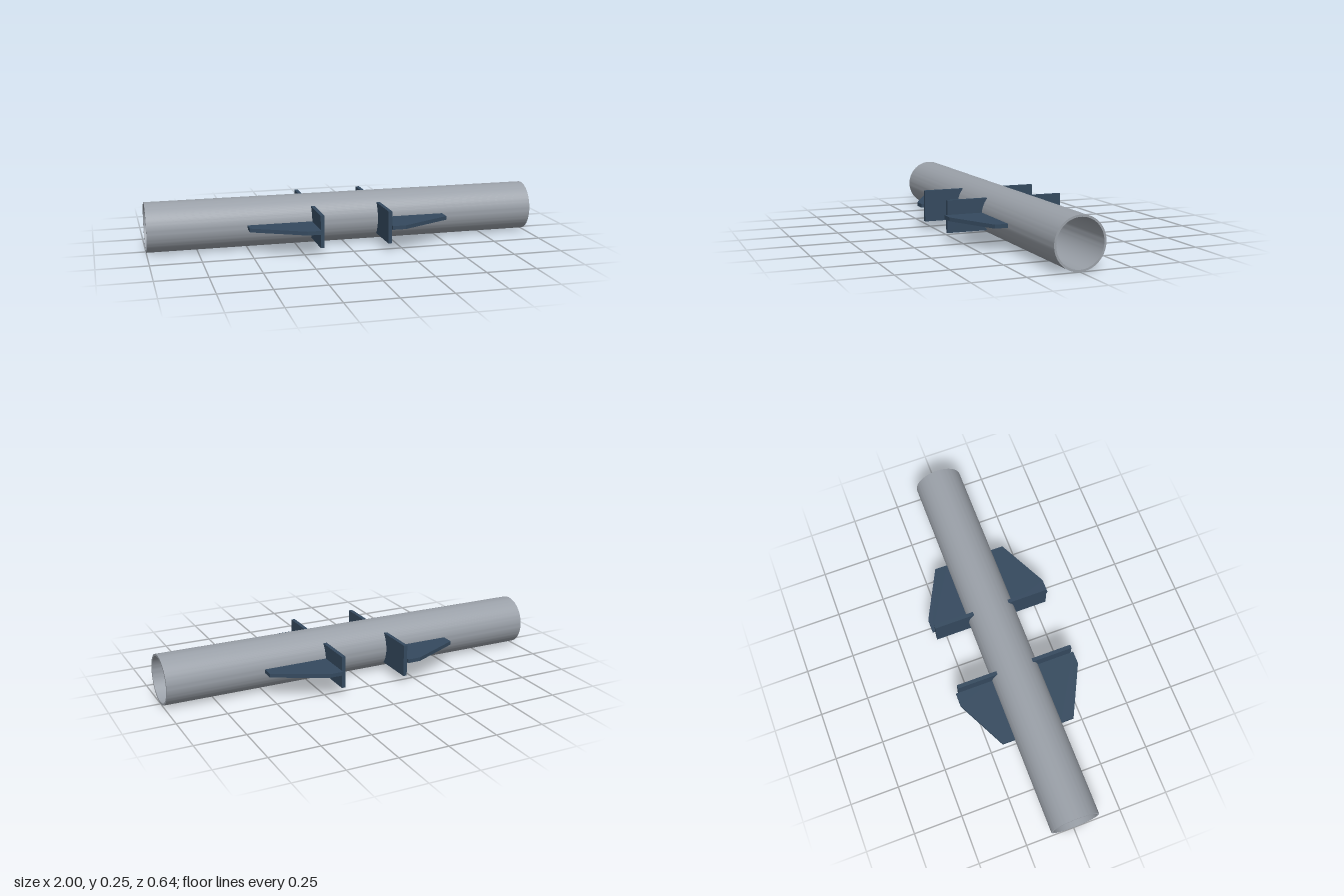
import * as THREE from 'three';
import { toCreasedNormals } from 'three/addons/utils/BufferGeometryUtils.js';

const R = 0.125, INNER = 0.115, AXIS_Y = 0.125;

// Extrude a shape, centred on its own thickness
function slab(shape, thickness) {
  const g = new THREE.ExtrudeGeometry(shape, { depth: thickness, bevelEnabled: false, curveSegments: 24 });
  return g.translate(0, 0, -thickness / 2);
}

// Open pipe along x with a wall of real thickness
function pipeGeometry() {
  const profile = [[INNER, -1], [R, -1], [R, 1], [INNER, 1], [INNER, -1]]
    .map(([r, y]) => new THREE.Vector2(r, y));
  const g = toCreasedNormals(new THREE.LatheGeometry(profile, 96), 0.6);
  return g.rotateZ(Math.PI / 2);
}

// Upright plate whose inner edge follows the pipe
function plateGeometry() {
  const half = 0.081, outer = 0.306, r = R - 0.001;
  const a = Math.asin(half / r);
  const s = new THREE.Shape();
  s.moveTo(outer, -half);
  s.lineTo(outer, half);
  s.lineTo(r * Math.cos(a), half);
  s.absarc(0, 0, r, a, -a, true);
  s.closePath();
  return slab(s, 0.019);
}

// Flat tapered gusset reaching from the plate along the pipe
function gussetGeometry(sx, sz) {
  const outline = [[0.18, 0.122], [0.508, 0.122], [0.508, 0.19], [0.248, 0.32], [0.18, 0.32]];
  const s = new THREE.Shape(outline.map(([x, z]) => new THREE.Vector2(sx * x, sz * z)));
  return slab(s, 0.019).rotateX(Math.PI / 2);
}

export function createModel() {
  const model = new THREE.Group();
  model.name = 'pipeWithBrackets';
  const pipeMat = new THREE.MeshStandardMaterial({ color: 0x9aa0a8 });
  const bracketMat = new THREE.MeshStandardMaterial({ color: 0x34495e });

  const pipe = new THREE.Mesh(pipeGeometry(), pipeMat);
  pipe.name = 'pipe';
  pipe.position.y = AXIS_Y;
  model.add(pipe);

  // Four brackets, mirrored left/right and front/back
  const plateGeo = plateGeometry();
  for (const sx of [-1, 1]) {
    for (const sz of [-1, 1]) {
      const bracket = new THREE.Group();
      bracket.name = (sz > 0 ? 'front' : 'back') + (sx > 0 ? 'Left' : 'Right') + 'Bracket';
      bracket.position.y = AXIS_Y;

      const plate = new THREE.Mesh(plateGeo, bracketMat);
      plate.name = 'plate';
      plate.rotation.y = -sz * Math.PI / 2;
      plate.position.x = sx * 0.1715;

      const gusset = new THREE.Mesh(gussetGeometry(sx, sz), bracketMat);
      gusset.name = 'gusset';

      bracket.add(plate, gusset);
      model.add(bracket);
    }
  }
  return model;
}
